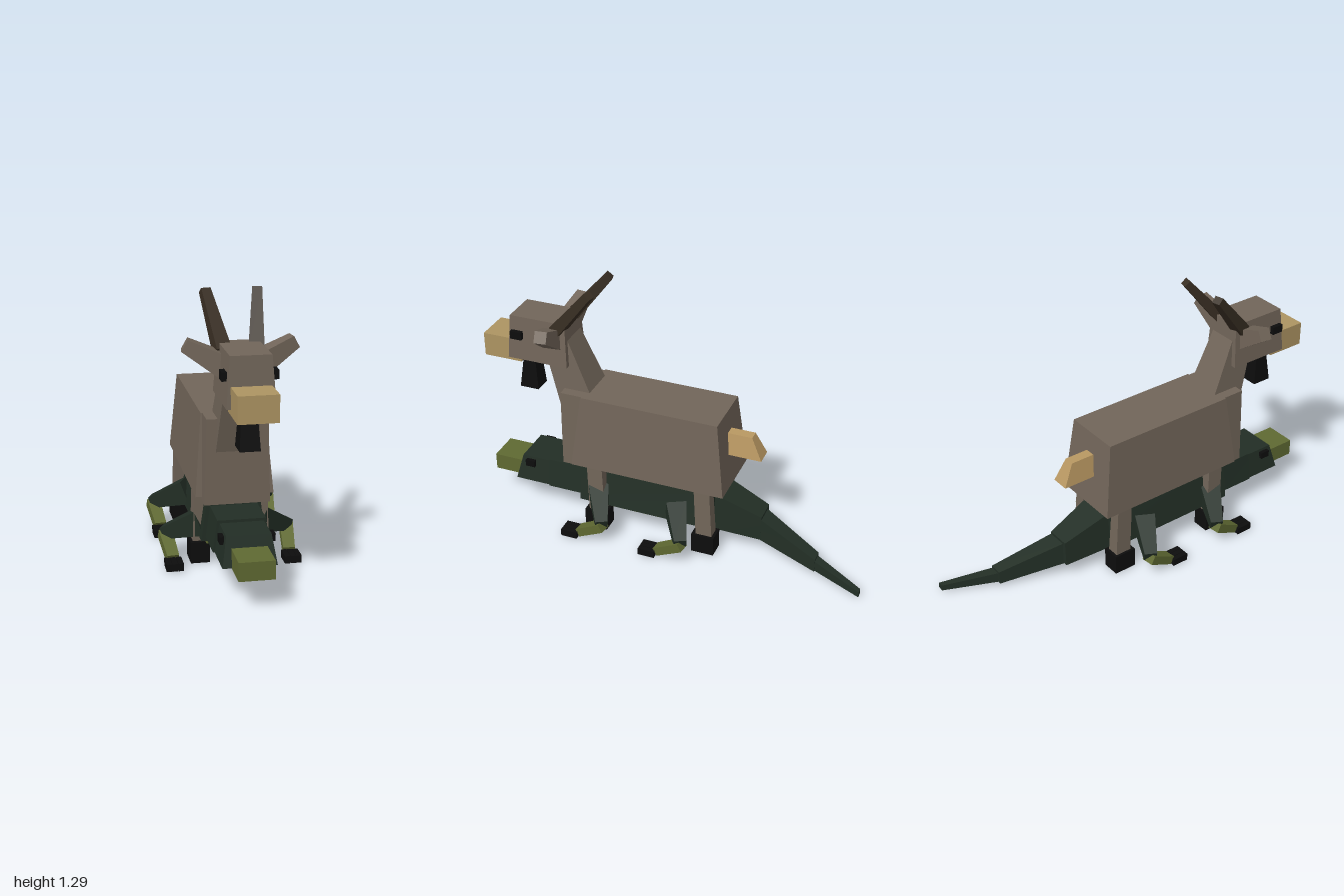
import * as THREE from 'three';

const paint = (name, color) => {
  const m = new THREE.MeshStandardMaterial({ color });
  m.name = name;
  return m;
};

export function createModel() {
  const fur = paint('brown fur', 0x716559);
  const horn = paint('dark horn', 0x382e23);
  const tan = paint('tan muzzle', 0xad9462);
  const tailTan = paint('tan tail', 0xb99862);
  const green = paint('dark green scales', 0x222e25);
  const olive = paint('olive skin', 0x5f6932);
  const black = paint('black', 0x0d0d0d);

  const model = new THREE.Group();
  model.name = 'goatOverCrocodile';
  const goat = new THREE.Group();
  goat.name = 'goat';
  const croc = new THREE.Group();
  croc.name = 'crocodile';
  model.add(goat, croc);

  // A six-sided block whose corners (each -1 or 1) are placed by a rule
  function block(group, name, mat, rule) {
    const geo = new THREE.BoxGeometry(2, 2, 2);
    const p = geo.attributes.position;
    for (let i = 0; i < p.count; i++) p.setXYZ(i, ...rule(p.getX(i), p.getY(i), p.getZ(i)));
    geo.computeVertexNormals();
    const mesh = new THREE.Mesh(geo, mat);
    mesh.name = name;
    group.add(mesh);
    return mesh;
  }
  // Upright taper; each end is [y, centre x, half width, back z, front z]
  const upright = (group, name, mat, low, high) => block(group, name, mat, (x, y, z) => {
    const e = y < 0 ? low : high;
    return [e[1] + x * e[2], e[0], z < 0 ? e[3] : e[4]];
  });
  // Lengthwise taper; each end is [z, centre x, half width below, half width above, low y, high y]
  const lengthwise = (group, name, mat, back, front) => block(group, name, mat, (x, y, z) => {
    const e = z < 0 ? back : front;
    return [e[1] + x * (y < 0 ? e[2] : e[3]), y < 0 ? e[4] : e[5], e[0]];
  });
  // Tapered limb from a to b; sizes are [width, height] across the limb
  function strut(group, name, mat, a, b, sizeA, sizeB) {
    const A = new THREE.Vector3(...a), B = new THREE.Vector3(...b);
    const dir = B.clone().sub(A).normalize();
    const right = new THREE.Vector3(0, 1, 0).cross(dir).normalize();
    const up = dir.clone().cross(right);
    return block(group, name, mat, (x, y, z) => {
      const s = z < 0 ? sizeA : sizeB;
      return (z < 0 ? A : B).clone()
        .addScaledVector(right, x * s[0] / 2)
        .addScaledVector(up, y * s[1] / 2).toArray();
    });
  }
  const box = (group, name, mat, x0, x1, y0, y1, z0, z1) =>
    upright(group, name, mat, [y0, (x0 + x1) / 2, (x1 - x0) / 2, z0, z1], [y1, (x0 + x1) / 2, (x1 - x0) / 2, z0, z1]);

  // Goat trunk, neck and head
  upright(goat, 'body', fur, [0.35, 0, 0.18, -0.29, 0.51], [0.73, 0, 0.148, -0.245, 0.46]);
  upright(goat, 'chest', fur, [0.33, 0, 0.15, 0.3, 0.57], [0.73, 0, 0.14, 0.3, 0.57]);
  upright(goat, 'neck', fur, [0.58, 0, 0.1, 0.37, 0.578], [1.0, 0, 0.072, 0.556, 0.695]);
  upright(goat, 'head', fur, [0.855, 0, 0.107, 0.545, 0.86], [1.08, 0, 0.09, 0.555, 0.845]);
  box(goat, 'muzzle', tan, -0.088, 0.088, 0.83, 0.95, 0.8, 1.0);
  upright(goat, 'beard', black, [0.66, 0, 0.046, 0.74, 0.84], [0.84, 0, 0.034, 0.755, 0.815]);
  upright(goat, 'goatTail', tailTan, [0.515, 0, 0.046, -0.435, -0.25], [0.625, 0, 0.026, -0.38, -0.24]);

  // Mirrored goat parts
  for (const s of [1, -1]) {
    const side = s > 0 ? 'left' : 'right';
    box(goat, side + 'Eye', black, s * 0.112 - 0.011, s * 0.112 + 0.011, 0.97, 1.01, 0.775, 0.835);
    strut(goat, side + 'Ear', fur, [s * 0.08, 0.99, 0.625], [s * 0.242, 1.08, 0.605], [0.09, 0.1], [0.06, 0.058]);
    strut(goat, side + 'Horn', horn, [s * 0.075, 1.04, 0.6], [s * 0.118, 1.276, 0.404], [0.07, 0.06], [0.044, 0.037]);
    for (const [end, z, shift] of [['Front', 0.382, 0.005], ['Rear', -0.192, 0.012]]) {
      upright(goat, side + end + 'Leg', fur, [0.09, s * 0.147, 0.032, z - 0.045, z + 0.038],
        [0.43, s * 0.145, 0.026, z + shift - 0.035, z + shift + 0.045]);
      box(goat, side + end + 'Hoof', black, s * 0.146 - 0.045, s * 0.146 + 0.045, 0, 0.102, z - 0.058, z + 0.058);
    }
  }

  // Crocodile trunk and head
  lengthwise(croc, 'crocBody', green, [-0.22, 0, 0.15, 0.115, 0.125, 0.3], [0.485, 0, 0.15, 0.125, 0.125, 0.312]);
  box(croc, 'belly', olive, -0.122, 0.122, 0.102, 0.13, -0.2, 0.46);
  lengthwise(croc, 'crocNeck', green, [0.44, 0, 0.13, 0.11, 0.145, 0.295], [0.67, 0, 0.13, 0.11, 0.145, 0.293]);
  upright(croc, 'crocHead', green, [0.145, 0, 0.122, 0.63, 0.86], [0.28, 0, 0.1, 0.63, 0.825]);
  box(croc, 'snout', olive, -0.08, 0.08, 0.142, 0.228, 0.8, 1.0);
  for (let i = 0; i < 5; i++) {
    const z = 0.27 - i * 0.095;
    box(croc, 'backScale' + (i + 1), green, -0.08, 0.08, 0.29, 0.324, z - 0.02, z + 0.02);
  }

  // Tail curving to the left and down to the ground
  lengthwise(croc, 'tailBase', green, [-0.455, 0.005, 0.066, 0.06, 0.07, 0.2], [-0.2, 0, 0.105, 0.09, 0.1, 0.3]);
  lengthwise(croc, 'tailMiddle', green, [-0.755, 0.11, 0.036, 0.033, 0.015, 0.082], [-0.43, 0.008, 0.056, 0.052, 0.072, 0.195]);
  lengthwise(croc, 'tailTip', green, [-1.0, 0.225, 0.015, 0.014, 0.005, 0.034], [-0.735, 0.105, 0.031, 0.028, 0.022, 0.074]);

  // Sprawling legs and toes
  for (const s of [1, -1]) {
    const side = s > 0 ? 'left' : 'right';
    box(croc, side + 'CrocEye', black, s * 0.114 - 0.01, s * 0.114 + 0.01, 0.233, 0.268, 0.752, 0.802);
    for (const [end, z] of [['Front', 0.42], ['Rear', 0]]) {
      strut(croc, side + end + 'Thigh', green, [s * 0.13, 0.19, z - 0.03], [s * 0.297, 0.112, z - 0.118], [0.1, 0.12], [0.062, 0.056]);
      strut(croc, side + end + 'Shin', olive, [s * 0.292, 0.105, z - 0.125], [s * 0.275, 0.028, z + 0.012], [0.064, 0.046], [0.056, 0.044]);
      for (const t of [-1, 0, 1]) {
        const x = s * 0.276 + t * 0.027;
        box(croc, side + end + 'Toe', black, x - 0.0125, x + 0.0125, 0, 0.036, z + 0.015, z + 0.1);
      }
    }
  }
  return model;
}
